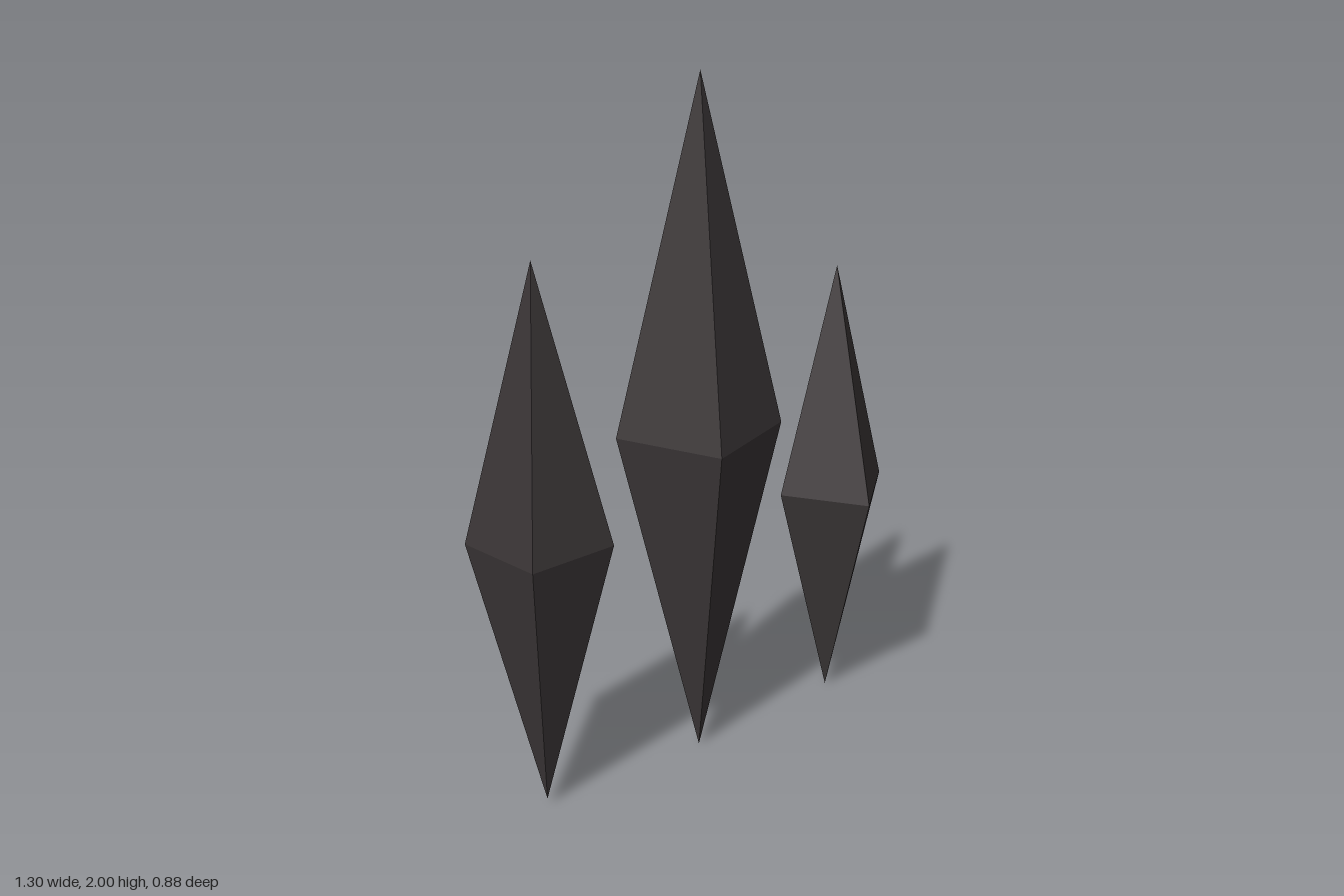
import * as THREE from 'three';

const darkStone = new THREE.MeshStandardMaterial({ color: 0x3b3637 });
darkStone.name = 'dark stone';

// One four-sided, double-pointed shard: half sizes, centre and turn about y
function makeShard(name, [hx, hy, hz], [x, y, z], turn) {
  const geometry = new THREE.OctahedronGeometry(1, 0).scale(hx, hy, hz);
  geometry.computeVertexNormals(); // unshared corners give flat facets
  const shard = new THREE.Mesh(geometry, darkStone);
  shard.name = name;
  shard.position.set(x, y, z);
  shard.rotation.y = turn;
  return shard;
}

export function createModel() {
  const group = new THREE.Group();
  group.name = 'floatingShards';
  group.add(
    makeShard('tallShard', [0.238, 1.0, 0.218], [0.02, 1.0, 0.023], 0.077),
    makeShard('mediumShard', [0.198, 0.783, 0.178], [-0.461, 0.803, 0.263], -0.218),
    makeShard('shortShard', [0.179, 0.683, 0.199], [0.48, 0.683, -0.257], 0.337)
  );
  return group;
}
